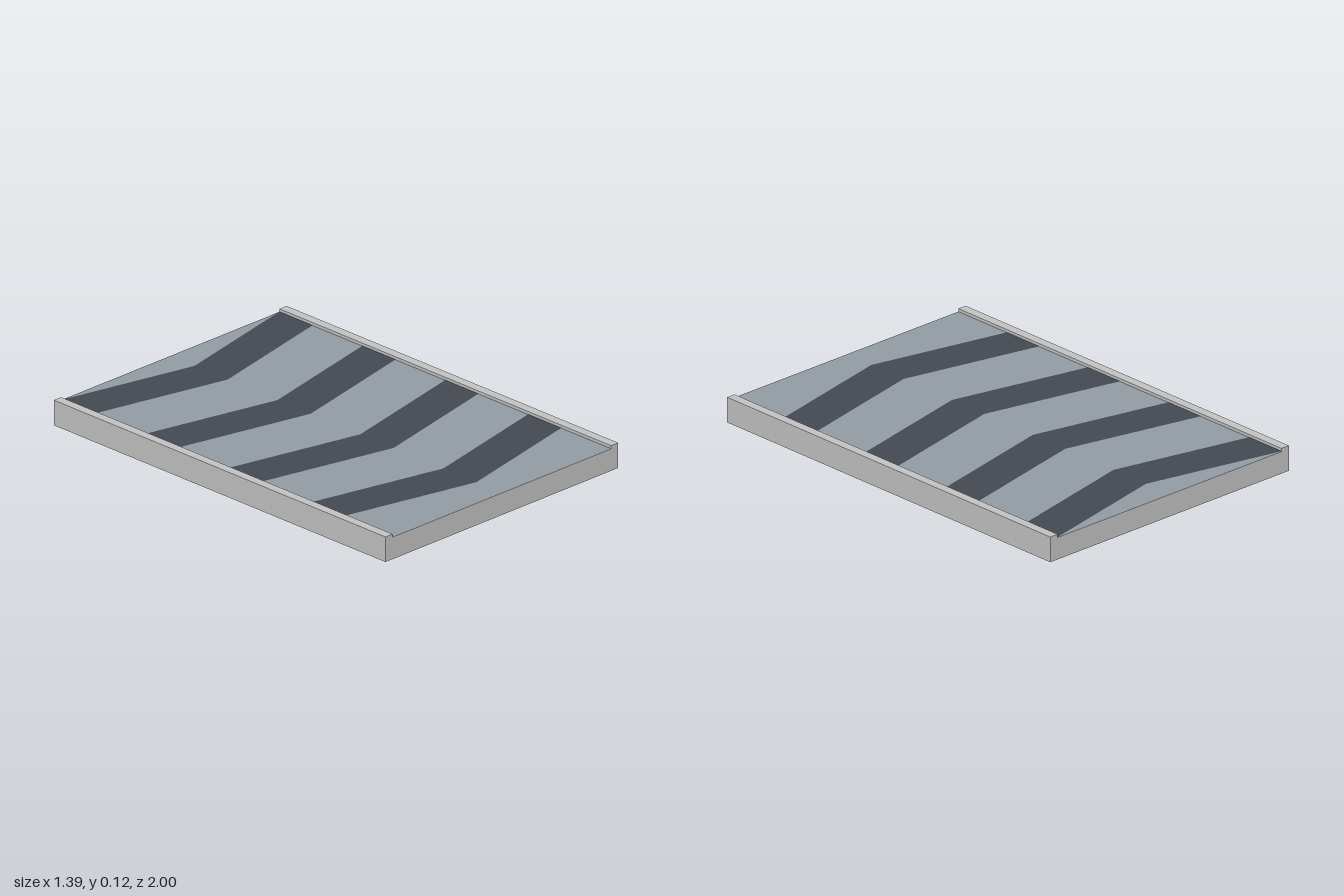
import * as THREE from 'three';

const HALF_WIDTH = 0.695, INNER = 0.652, HEIGHT = 0.117, FLOOR = 0.102;

const shapeOf = (points) => new THREE.Shape(points.map(([x, y]) => new THREE.Vector2(x, y)));

// Flat face lying on the floor, outlined in x and z
function flatFace(name, points, y, material) {
  const geometry = new THREE.ShapeGeometry(shapeOf(points.map(([x, z]) => [x, -z])));
  geometry.rotateX(-Math.PI / 2);
  const mesh = new THREE.Mesh(geometry, material);
  mesh.position.y = y;
  mesh.name = name;
  return mesh;
}

export function createModel() {
  const frameGrey = new THREE.MeshStandardMaterial({ color: 0xc6c6c6 });
  const beltGrey = new THREE.MeshStandardMaterial({ color: 0x959ea6 });
  const chevronGrey = new THREE.MeshStandardMaterial({ color: 0x454a54 });
  frameGrey.name = 'frame grey';
  beltGrey.name = 'belt grey';
  chevronGrey.name = 'chevron dark grey';

  const model = new THREE.Group();
  model.name = 'floorPanel';

  // Slab with a raised rail along each side
  const profile = shapeOf([
    [-HALF_WIDTH, 0], [HALF_WIDTH, 0], [HALF_WIDTH, HEIGHT], [INNER, HEIGHT],
    [INNER, FLOOR], [-INNER, FLOOR], [-INNER, HEIGHT], [-HALF_WIDTH, HEIGHT],
  ]);
  const frameGeometry = new THREE.ExtrudeGeometry(profile, { depth: 2, bevelEnabled: false });
  frameGeometry.translate(0, 0, -1);
  const frame = new THREE.Mesh(frameGeometry, frameGrey);
  frame.name = 'frame';
  model.add(frame);

  // Belt surface between the rails
  model.add(flatFace('belt', [[-INNER, 1], [INNER, 1], [INNER, -1], [-INNER, -1]], FLOOR + 0.001, beltGrey));

  // Four chevrons pointing to the front
  const drop = 0.147, band = 0.2;
  for (let i = 0; i < 4; i++) {
    const z = -1 + i * 0.5;
    model.add(flatFace(`chevron${i + 1}`, [
      [-INNER, z], [-INNER, z + band], [0, z + band + drop],
      [INNER, z + band], [INNER, z], [0, z + drop],
    ], FLOOR + 0.002, chevronGrey));
  }
  return model;
}
